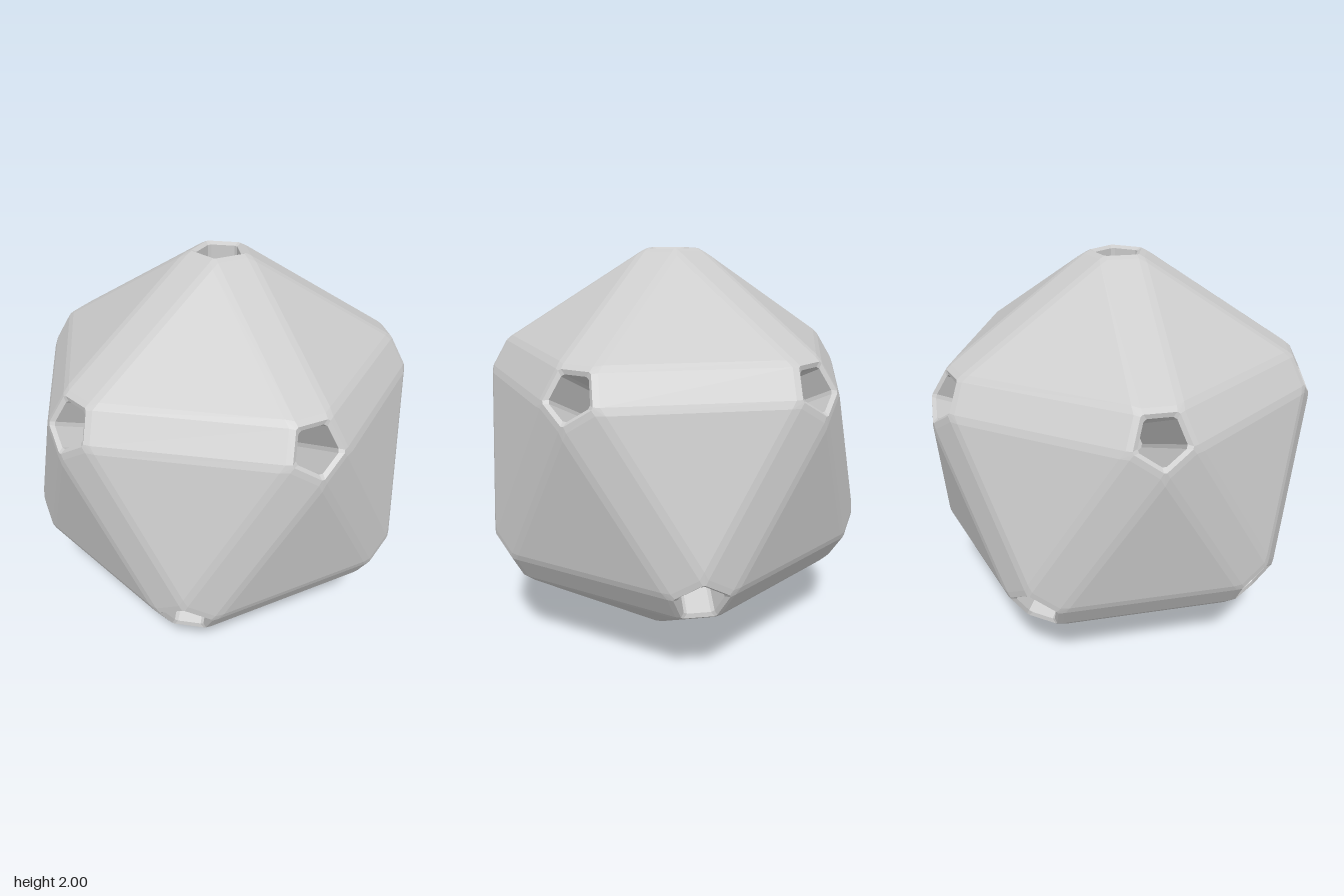
import * as THREE from 'three';

// Bevelled icosahedron with a pentagonal tunnel bored through every corner.
export function createModel() {
  const group = new THREE.Group();
  group.name = 'boredIcosahedron';
  const material = new THREE.MeshStandardMaterial({ color: 0xcccccc, flatShading: true });

  // Corner directions: top, upper ring, lower ring, bottom
  const dirs = [new THREE.Vector3(0, 1, 0)];
  const ringY = 1 / Math.sqrt(5), ringR = 2 / Math.sqrt(5);
  for (const [y, start] of [[ringY, 0], [-ringY, Math.PI / 5]])
    for (let k = 0; k < 5; k++) {
      const t = start + k * Math.PI * 0.4;
      dirs.push(new THREE.Vector3(ringR * Math.cos(t), y, ringR * Math.sin(t)));
    }
  dirs.push(new THREE.Vector3(0, -1, 0));

  // Angles from a corner axis to its neighbouring edge and face axes
  const edgeAngle = Math.atan(2) / 2;
  const faceAngle = Math.acos(0.79465);

  // Per corner: local frame and neighbours sorted counter-clockwise
  const corners = dirs.map((n) => {
    const near = dirs.map((d, i) => i).filter((i) => Math.abs(dirs[i].dot(n) - ringY) < 0.01);
    const u = dirs[near[0]].clone().addScaledVector(n, -ringY).normalize();
    const v = n.clone().cross(u);
    const angle = (i) => (Math.atan2(dirs[i].dot(v), dirs[i].dot(u)) + Math.PI * 2 + 0.01) % (Math.PI * 2);
    near.sort((a, b) => angle(a) - angle(b));
    return { n, u, v, near };
  });

  // Ring of 15 points: each side has two ends, followed by a point on the pentagon corner
  function ring(c, apothem, half, height, midRadius, midHeight = height) {
    const pts = [];
    const add = (r, s, a, h) => pts.push(new THREE.Vector3()
      .addScaledVector(c.n, h)
      .addScaledVector(c.u, r * Math.cos(a) - s * Math.sin(a))
      .addScaledVector(c.v, r * Math.sin(a) + s * Math.cos(a)));
    for (let k = 0; k < 5; k++) {
      const a = k * Math.PI * 0.4;
      add(apothem, -half, a, height);
      add(apothem, half, a, height);
      add(midRadius, 0, a + Math.PI / 5, midHeight);
    }
    return pts;
  }
  const cutRadius = (a, w) => a * Math.cos(Math.PI / 5) + w * Math.sin(Math.PI / 5);

  const faces = [], bevels = [], rims = [], tunnels = [];
  const quad = (out, a, b, c, d) => out.push(a, b, c, a, c, d);
  const band = (out, p, q) => p.forEach((_, i) => {
    const j = (i + 1) % p.length;
    quad(out, p[i], p[j], q[j], q[i]);
  });

  // Corner rims and tunnels, which meet each other near the centre
  const HOLE = 0.09, HOLE_HALF = 0.054;
  const holeCut = cutRadius(HOLE, HOLE_HALF);
  for (const c of corners) {
    c.outer = ring(c, 0.1337, 0.073, 0.9873, 0.184, 0.970);
    const ridge = ring(c, 0.108, 0.07, 1, cutRadius(0.108, 0.07));
    const mouth = ring(c, HOLE, HOLE_HALF, 0.988, holeCut);
    const deep = ring(c, HOLE, HOLE_HALF, HOLE / Math.tan(edgeAngle),
      holeCut, holeCut / Math.tan(faceAngle));
    band(rims, c.outer, ridge);
    band(rims, ridge, mouth);
    band(tunnels, mouth, deep);
  }

  // Edge bevels (three strips each) and the flat triangles between them
  const sector = (from, to) => corners[from].near.indexOf(to);
  const faceCorner = (from, to) => corners[from].outer[sector(from, to) * 3 + 2];
  const strip = (from, to) => {
    const k = sector(from, to) * 3;
    return [14, 0, 1, 2].map((o) => corners[from].outer[(k + o) % 15]);
  };
  corners.forEach((c, a) => c.near.forEach((b, k) => {
    if (a < b) {
      const p = strip(a, b), q = strip(b, a).reverse();
      for (let j = 0; j < 3; j++) quad(bevels, p[j], q[j], q[j + 1], p[j + 1]);
    }
    const d = c.near[(k + 1) % 5];
    if (a < b && a < d) faces.push(faceCorner(a, b), faceCorner(b, d), faceCorner(d, a));
  }));

  for (const [name, pts] of Object.entries({
    triangleFaces: faces, edgeBevels: bevels, cornerRims: rims, cornerTunnels: tunnels,
  })) {
    const geometry = new THREE.BufferGeometry().setFromPoints(pts);
    geometry.computeVertexNormals();
    const mesh = new THREE.Mesh(geometry, material);
    mesh.name = name;
    mesh.position.y = 1;
    group.add(mesh);
  }
  return group;
}
